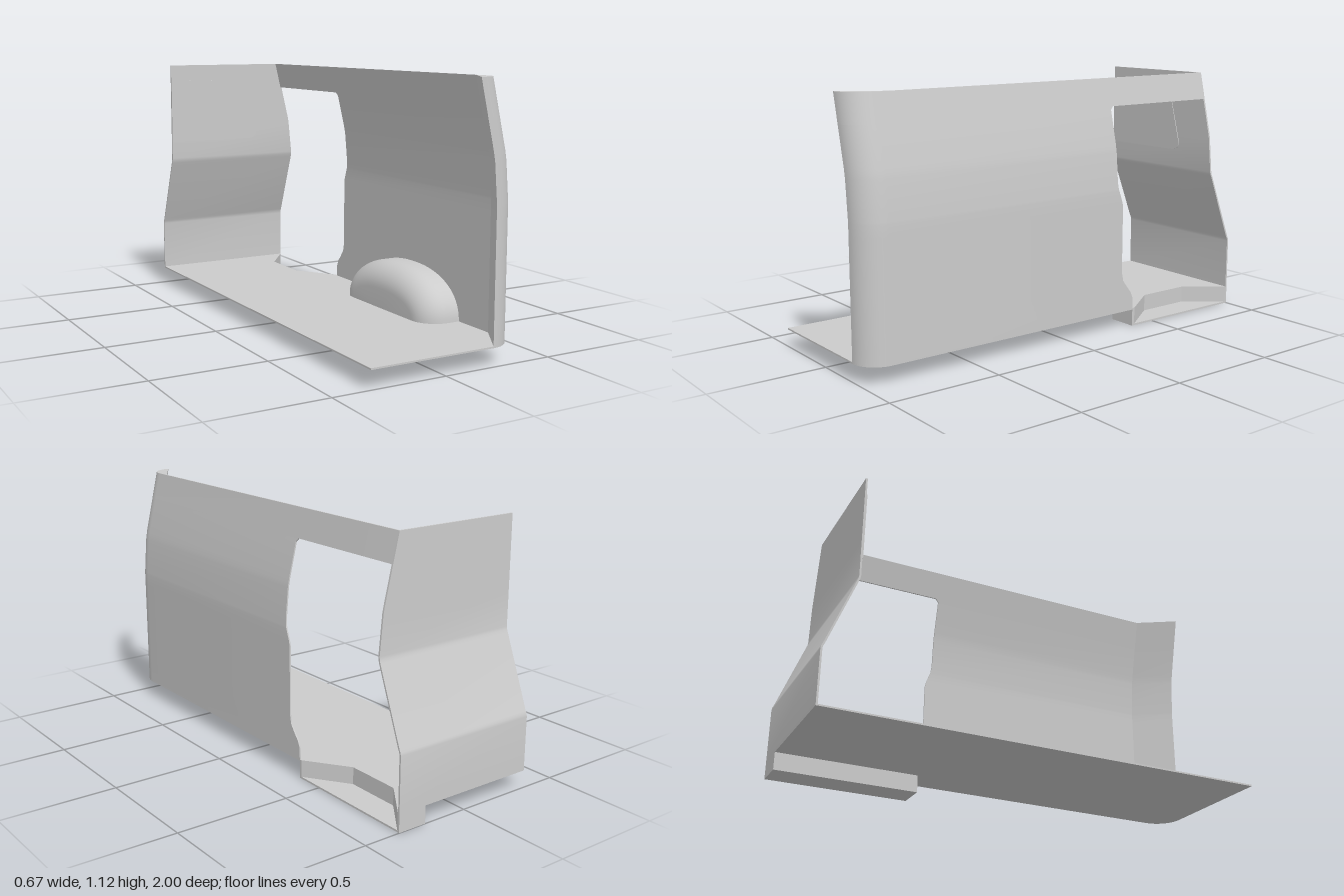
import * as THREE from 'three';
import { toCreasedNormals } from 'three/addons/utils/BufferGeometryUtils.js';

const T = 0.006;      // sheet thickness
const FLOOR = 0.083;  // top of the floor
const BASE = 0.076;   // underside of the floor
const LEFT = -0.337, SIDE = 0.337, R = 0.113;

// Piecewise linear lookup in [y, value] pairs
function lookup(table, y) {
  for (let i = 1; i < table.length; i++) {
    const [y0, a] = table[i - 1], [y1, b] = table[i];
    if (y <= y1) return a + (b - a) * Math.max(0, (y - y0) / (y1 - y0));
  }
  return table[table.length - 1][1];
}

// Outer face of the side wall, leaning in towards the roof
const outer = (y) => lookup([[0, SIDE], [0.63, SIDE], [0.67, 0.334], [0.8, 0.323], [0.84, 0.316], [1.122, 0.25]], y);
// Front edge of the door opening
const doorEdge = (y) => lookup([
  [0.076, -0.372], [0.13, -0.372], [0.16, -0.36], [0.19, -0.335], [0.22, -0.313], [0.26, -0.304],
  [0.56, -0.304], [0.58, -0.3], [0.64, -0.278], [0.67, -0.274], [0.985, -0.274], [1.0, -0.288],
], y);

// Skin over rows of points; closed rows are capped at both ends
function skin(rows, closed) {
  const pos = [];
  const tri = (...pts) => pts.forEach((p) => pos.push(...p));
  for (let i = 0; i + 1 < rows.length; i++) {
    const lo = rows[i], hi = rows[i + 1], n = lo.length;
    for (let j = 0; j < (closed ? n : n - 1); j++) {
      const k = (j + 1) % n;
      tri(lo[j], lo[k], hi[k]);
      tri(lo[j], hi[k], hi[j]);
    }
  }
  if (closed) {
    for (const [row, up] of [[rows[0], false], [rows[rows.length - 1], true]]) {
      const flat = row.map((p) => new THREE.Vector2(p[0], -p[2]));
      for (const [a, b, c] of THREE.ShapeUtils.triangulateShape(flat, [])) {
        if (up) tri(row[a], row[b], row[c]);
        else tri(row[a], row[c], row[b]);
      }
    }
  }
  const geo = new THREE.BufferGeometry();
  geo.setAttribute('position', new THREE.Float32BufferAttribute(pos, 3));
  return toCreasedNormals(geo, 0.5);
}

// Flat plate from an (x, z) outline between two heights
function plate(points, bottom, top) {
  const shape = new THREE.Shape(points.map(([x, z]) => new THREE.Vector2(x, z)));
  const geo = new THREE.ExtrudeGeometry(shape, { depth: top - bottom, bevelEnabled: false });
  return geo.rotateX(Math.PI / 2).translate(0, top, 0);
}

// Rounded front corner, from the front face round to the side
function corner(x) {
  return Array.from({ length: 13 }, (_, i) => {
    const a = (i / 12) * Math.PI / 2;
    return [x - R + R * Math.sin(a), 1 - R + R * Math.cos(a)];
  });
}

export function createModel() {
  const group = new THREE.Group();
  const grey = new THREE.MeshStandardMaterial({ color: 0xcccccc, side: THREE.DoubleSide });
  const add = (name, geo) => {
    const mesh = new THREE.Mesh(geo, grey);
    mesh.name = name;
    group.add(mesh);
  };

  // Side wall with the solid front pillar
  const wallHeights = [BASE, 0.13, 0.145, 0.16, 0.19, 0.22, 0.24, 0.26, 0.56, 0.58, 0.63, 0.64, 0.67,
    0.8, 0.82, 0.84, 0.985, 0.994, 1.0];
  const wallRow = (y, rear) => {
    const x = outer(y);
    return [[x - T, 0.83], ...corner(x), [x, rear], [x - T, rear]].map(([px, pz]) => [px, y, pz]);
  };
  add('sideWall', skin(wallHeights.map((y) => wallRow(y, doorEdge(y))), true));
  // Top of the wall, running on over the door
  add('doorHeader', skin([1.0, 1.122].map((y) => wallRow(y, -0.862)), true));

  // Cranked back wall
  const backRows = [[BASE, -1], [0.31, -1], [0.322, -0.998], [0.334, -0.992], [0.635, -0.875],
    [0.648, -0.87], [0.66, -0.868], [0.82, -0.868], [0.84, -0.868], [1.122, -0.868]];
  add('backWall', skin(backRows.map(([y, z]) => {
    const x = outer(y);
    return [[LEFT, y, z], [LEFT, y, z + 0.008], [x, y, z + 0.008], [x, y, z]];
  }), true));

  // Shallow window pressing on the inside of the back wall
  const win = new THREE.Shape();
  win.moveTo(LEFT, 0.743);
  win.lineTo(0.085, 0.743);
  win.quadraticCurveTo(0.135, 0.745, 0.123, 0.795);
  win.lineTo(0.075, 0.97);
  win.quadraticCurveTo(0.053, 1.043, -0.005, 1.045);
  win.lineTo(LEFT, 1.045);
  add('windowPressing', new THREE.ExtrudeGeometry(win, { depth: 0.004, bevelEnabled: false })
    .translate(0, 0, -0.861));

  // Floor with the entry step cut out
  const notch = [[SIDE, -0.99], [0.21, -0.82], [0.21, -0.57], [SIDE, -0.385]];
  add('floor', plate([[LEFT, -1], [SIDE, -1], ...notch, ...corner(SIDE).reverse(), [LEFT, 1]], BASE, FLOOR));

  // Entry step: riser block around the notch, and the tread beneath
  add('stepRiser', plate([[0.205, -1], [SIDE, -1], ...notch, [SIDE, -0.372], [0.205, -0.372]], 0, FLOOR - 0.001));
  add('stepTread', plate([[0.205, -1], [SIDE, -1], [SIDE, -0.372], [0.205, -0.372]], 0, 0.008));

  // Wheel arch: half-oval outline, rounded over to a flat inner face
  const arch = (x, inset) => Array.from({ length: 41 }, (_, i) => {
    const a = (i / 40) * Math.PI, c = Math.cos(a), s = Math.sin(a);
    const p = 0.88;
    return [x, FLOOR - 0.003 + (0.2 - inset) * Math.pow(Math.abs(s), p),
      0.29 - (0.345 - inset) * Math.sign(c) * Math.pow(Math.abs(c), p)];
  });
  const archRows = [arch(0.333, 0)];
  for (let i = 0; i <= 10; i++) {
    const a = (i / 10) * Math.PI / 2;
    archRows.push(arch(0.165 + 0.11 * (1 - Math.sin(a)), 0.11 * (1 - Math.cos(a))));
  }
  archRows.push(archRows[0].map(() => [0.165, FLOOR - 0.003, 0.29]));
  archRows.forEach((row) => row.reverse());
  add('wheelArch', skin(archRows, false));

  return group;
}
